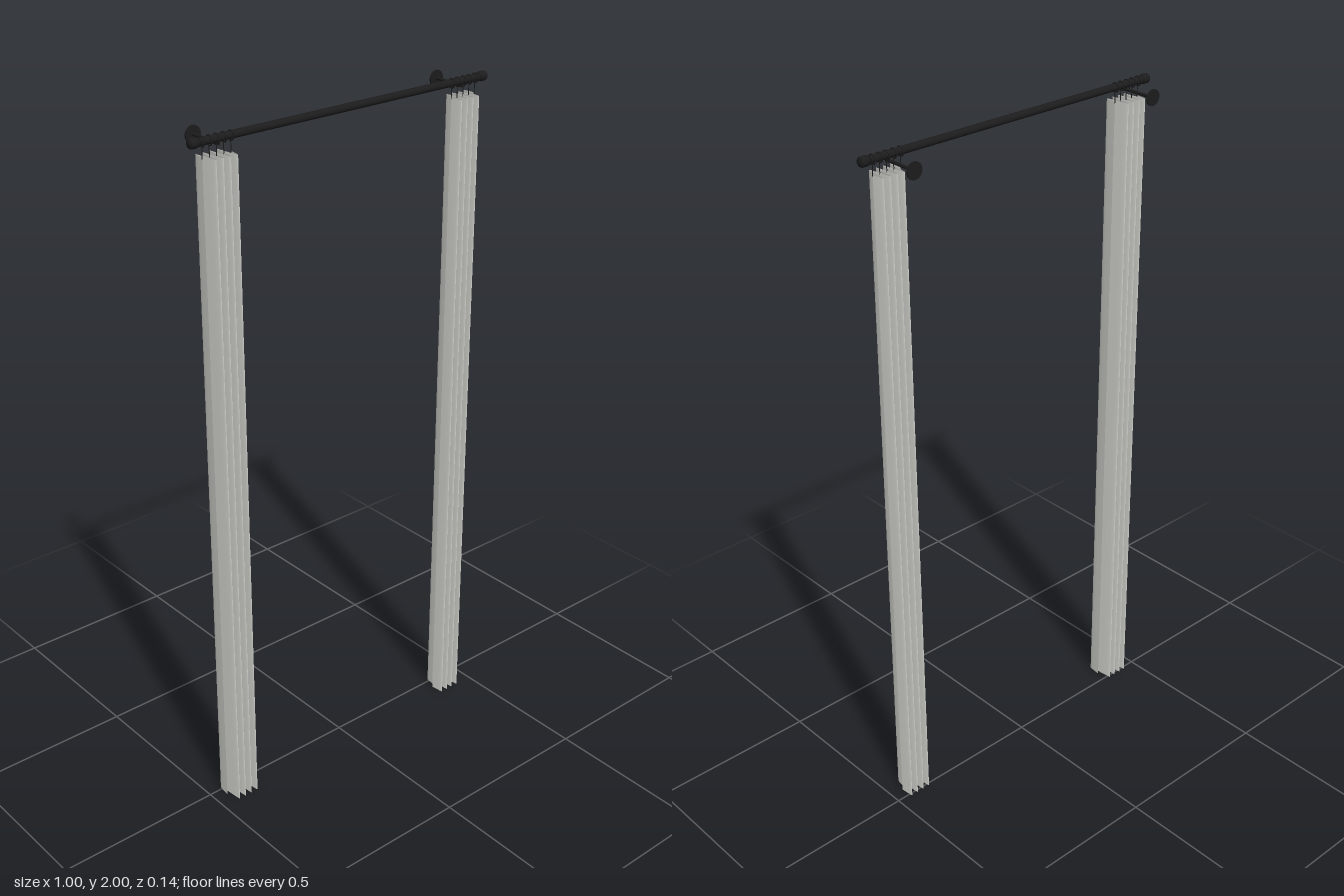
import * as THREE from 'three';

const ROD_Y = 1.986, ROD_Z = 0.031;
const INNER = 0.373, OUTER = 0.46, FOLDS = 4, CLOTH_TOP = 1.945;

export function createModel() {
  const metal = new THREE.MeshStandardMaterial({ color: 0x1c1c1c });
  metal.name = 'black metal';
  const fabric = new THREE.MeshStandardMaterial({ color: 0xdcdcd6, side: THREE.DoubleSide });
  fabric.name = 'pale fabric';

  const model = new THREE.Group();
  model.name = 'curtainSet';

  function add(parent, name, geometry, material, x, y, z) {
    const mesh = new THREE.Mesh(geometry, material);
    mesh.name = name;
    mesh.position.set(x, y, z);
    parent.add(mesh);
    return mesh;
  }

  // Rod
  add(model, 'rod', new THREE.CylinderGeometry(0.0105, 0.0105, 0.96, 24).rotateZ(Math.PI / 2),
    metal, 0, ROD_Y, ROD_Z);

  // Rounded end cap, turned around the rod axis
  const finialProfile = [
    [0, 0], [0.012, 0], [0.012, 0.004], [0.0105, 0.005], [0.0135, 0.008],
    [0.014, 0.012], [0.014, 0.023], [0.012, 0.027], [0.007, 0.029], [0, 0.03],
  ].map(([r, y]) => new THREE.Vector2(r, y));

  // Pleated cloth: a plane pushed into deep waves that open slightly toward the hem
  function clothGeometry(side) {
    const g = new THREE.PlaneGeometry(1, CLOTH_TOP, FOLDS * 20, 12);
    const p = g.attributes.position;
    for (let i = 0; i < p.count; i++) {
      const t = p.getX(i) + 0.5;
      const y = p.getY(i) + CLOTH_TOP / 2;
      const depth = 0.036 + 0.004 * (1 - y / CLOTH_TOP);
      p.setXYZ(i, side * (INNER + t * (OUTER - INNER)), y,
        ROD_Z + depth * Math.sin(t * FOLDS * Math.PI * 2));
    }
    g.computeVertexNormals();
    return g;
  }

  for (const side of [-1, 1]) {
    const half = new THREE.Group();
    half.name = side > 0 ? 'leftSide' : 'rightSide';
    model.add(half);

    add(half, 'finial', new THREE.LatheGeometry(finialProfile, 24).rotateZ(-side * Math.PI / 2),
      metal, side * 0.47, ROD_Y, ROD_Z);
    add(half, 'curtain', clothGeometry(side), fabric, 0, 0, 0);

    // Rings with hooks hold the cloth at the middle of each fold
    for (let i = 0; i <= FOLDS; i++) {
      const x = side * (INNER + (OUTER - INNER) * i / FOLDS);
      add(half, 'ring', new THREE.TorusGeometry(0.0125, 0.0018, 8, 24).rotateY(Math.PI / 2),
        metal, x, ROD_Y - 0.001, ROD_Z);
      add(half, 'hook', new THREE.CylinderGeometry(0.0012, 0.0012, 0.032, 8),
        metal, x, 1.957, ROD_Z);
    }

    // Wall bracket: cradle under the rod, arm and round wall plate
    const bx = side * 0.413;
    add(half, 'bracketCradle', new THREE.CylinderGeometry(0.006, 0.006, 0.012, 16),
      metal, bx, 1.974, ROD_Z);
    add(half, 'bracketArm', new THREE.CylinderGeometry(0.0045, 0.0045, 0.105, 16).rotateX(Math.PI / 2),
      metal, bx, 1.972, -0.0195);
    add(half, 'wallPlate', new THREE.CylinderGeometry(0.023, 0.023, 0.005, 32).rotateX(Math.PI / 2),
      metal, bx, 1.972, -0.071);
  }
  return model;
}
